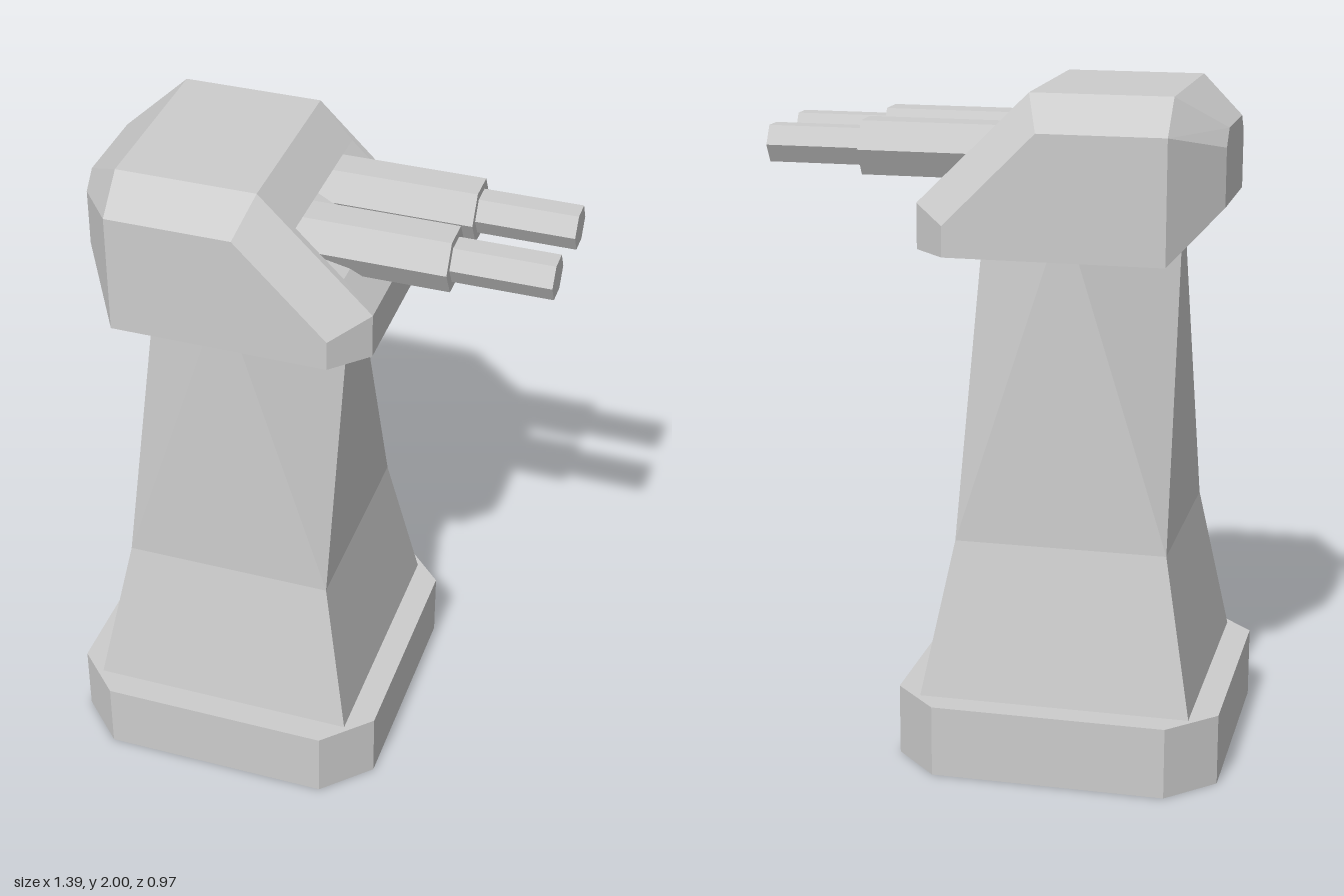
import * as THREE from 'three';

const grey = new THREE.MeshStandardMaterial({ color: 0xcccccc });
grey.name = 'light grey';

// Flat-shaded geometry from convex polygons, corners counter-clockwise from outside
function fromPolygons(polygons) {
  const pos = [];
  for (const p of polygons)
    for (let i = 1; i < p.length - 1; i++) pos.push(...p[0], ...p[i], ...p[i + 1]);
  const g = new THREE.BufferGeometry();
  g.setAttribute('position', new THREE.Float32BufferAttribute(pos, 3));
  g.computeVertexNormals();
  return g;
}

function part(name, geometry) {
  const m = new THREE.Mesh(geometry, grey);
  m.name = name;
  return m;
}

// Octagonal plinth
function makeBase() {
  const h = 0.483, f = 0.347;
  const outline = [[h, -f], [h, f], [f, h], [-f, h], [-h, f], [-h, -f], [-f, -h], [f, -h]];
  const shape = new THREE.Shape(outline.map(([x, y]) => new THREE.Vector2(x, y)));
  const g = new THREE.ExtrudeGeometry(shape, { depth: 0.215, bevelEnabled: false });
  g.rotateX(-Math.PI / 2);
  return part('base', g);
}

// Tapered tower: square at the foot and waist, octagonal at the top
function makeTower() {
  const foot = 0.403, waist = 0.315, top = 0.298, flat = 0.045;
  const y0 = 0.215, y1 = 0.68, y2 = 1.53;
  const side = [
    [[-foot, y0, foot], [foot, y0, foot], [waist, y1, waist], [-waist, y1, waist]],
    [[-waist, y1, waist], [waist, y1, waist], [flat, y2, top], [-flat, y2, top]],
    [[waist, y1, waist], [top, y2, flat], [flat, y2, top]],
    [[0, y2, 0], [-flat, y2, top], [flat, y2, top], [top, y2, flat]],
  ];
  const polygons = [];
  for (let k = 0; k < 4; k++) {
    const c = Math.round(Math.cos(k * Math.PI / 2)), s = Math.round(Math.sin(k * Math.PI / 2));
    for (const p of side) polygons.push(p.map(([x, y, z]) => [x * c + z * s, y, z * c - x * s]));
  }
  return part('tower', fromPolygons(polygons));
}

// Bevelled turret with a wedge-shaped slot in its sloping front
function makeTurret() {
  const slotLow = [0.13, 1.764], slotIn = [-0.07, 1.84], slotHigh = [-0.008, 1.9];
  const polygons = [];

  // Strips spanning the full width: [x, y, half width] around the profile
  const profile = [
    [0.22, 1.54, 0.27], [0.22, 1.675, 0.27], [...slotLow, 0.25], [...slotIn, 0.25],
    [...slotHigh, 0.25], [-0.11, 2, 0.27], [-0.52, 2, 0.27], [-0.655, 1.9, 0.13],
    [-0.655, 1.85, 0.175], [-0.655, 1.68, 0.175], [-0.52, 1.54, 0.37], [0.12, 1.54, 0.37],
  ];
  profile.forEach(([x, y, w], i) => {
    const [x2, y2, w2] = profile[(i + 1) % profile.length];
    polygons.push([[x, y, w], [x, y, -w], [x2, y2, -w2], [x2, y2, w2]]);
  });

  // Faces of one side, mirrored to the other
  const half = [
    // side wall
    [[-0.52, 1.54, 0.37], [0.12, 1.54, 0.37], [0.12, 1.63, 0.37], [-0.15, 1.9, 0.37], [-0.52, 1.9, 0.37]],
    // top bevel
    [[-0.52, 1.9, 0.37], [-0.15, 1.9, 0.37], [-0.11, 2, 0.27], [-0.52, 2, 0.27]],
    // slope bevel
    [[0.12, 1.63, 0.37], [0.22, 1.675, 0.27], [-0.11, 2, 0.27], [-0.15, 1.9, 0.37]],
    // front corner
    [[0.12, 1.54, 0.37], [0.22, 1.54, 0.27], [0.22, 1.675, 0.27], [0.12, 1.63, 0.37]],
    // rear side and shoulder
    [[-0.655, 1.68, 0.175], [-0.52, 1.54, 0.37], [-0.52, 1.9, 0.37], [-0.655, 1.85, 0.175]],
    [[-0.655, 1.85, 0.175], [-0.52, 1.9, 0.37], [-0.52, 2, 0.27], [-0.655, 1.9, 0.13]],
    // slope beside the slot, and the slot's end wall
    [[0.22, 1.675, 0.27], [...slotLow, 0.25], [...slotHigh, 0.25], [-0.11, 2, 0.27]],
    [[...slotHigh, 0.25], [...slotLow, 0.25], [...slotIn, 0.25]],
  ];
  for (const p of half) {
    polygons.push(p);
    polygons.push(p.map(([x, y, z]) => [x, y, -z]).reverse());
  }
  return part('turret', fromPolygons(polygons));
}

// Hexagonal tube along x with flats at top and bottom
function makeTube(name, radius, x0, x1) {
  const g = new THREE.CylinderGeometry(radius, radius, x1 - x0, 6).toNonIndexed();
  g.rotateZ(-Math.PI / 2);
  g.translate((x0 + x1) / 2, 0, 0);
  g.computeVertexNormals();
  return part(name, g);
}

export function createModel() {
  const model = new THREE.Group();
  model.name = 'gunTower';

  const base = makeBase(), tower = makeTower();
  base.position.x = tower.position.x = -0.215;
  model.add(base, tower, makeTurret());

  // Twin barrels, each a thick sleeve and a thin muzzle
  for (const [name, z] of [['frontBarrel', 0.132], ['rearBarrel', -0.132]]) {
    const barrel = new THREE.Group();
    barrel.name = name;
    barrel.add(makeTube('sleeve', 0.091, -0.05, 0.41), makeTube('muzzle', 0.062, 0.4, 0.695));
    barrel.position.set(0, 1.813, z);
    model.add(barrel);
  }
  return model;
}
